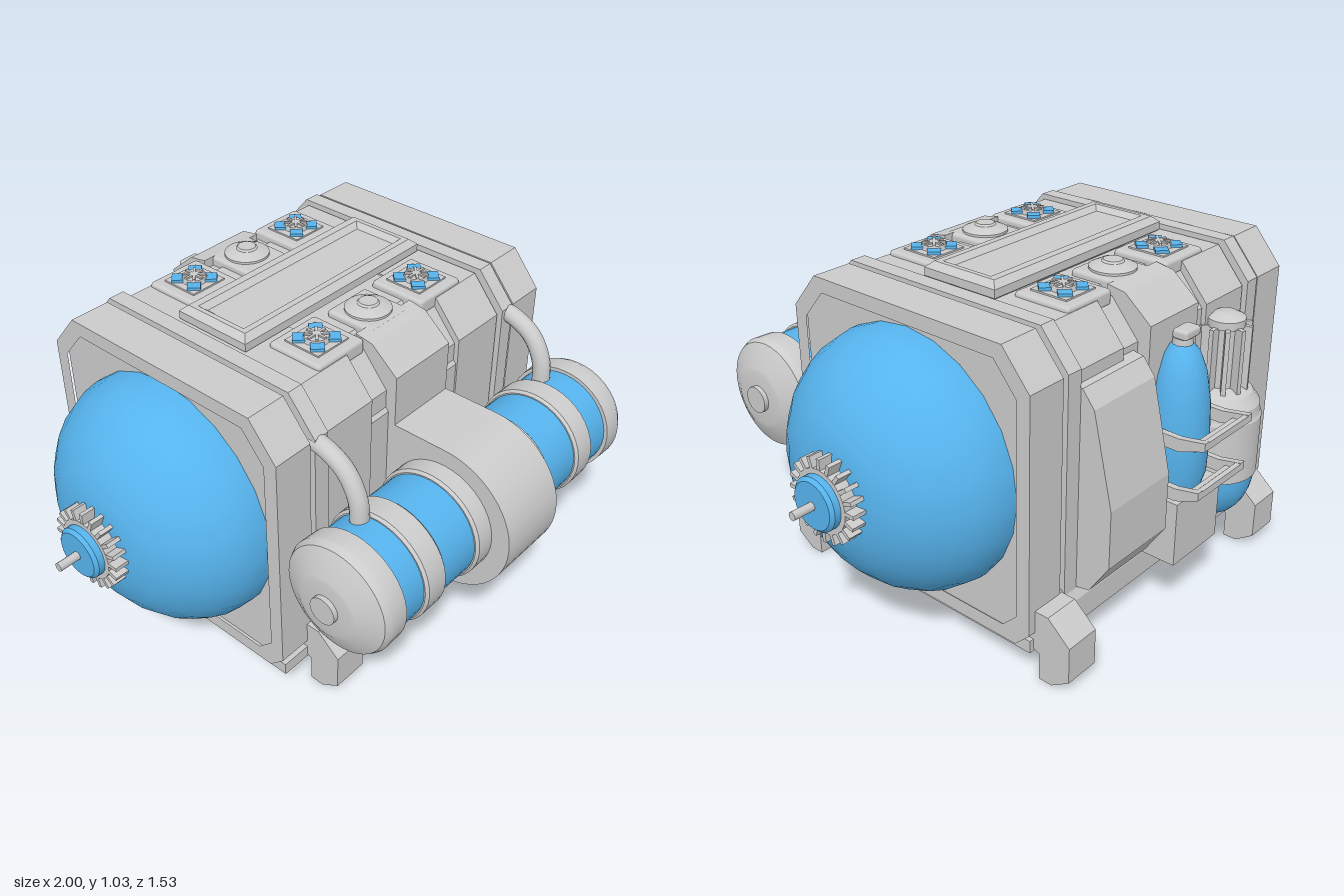
import * as THREE from 'three';
import { RoundedBoxGeometry } from 'three/addons/geometries/RoundedBoxGeometry.js';
import { toCreasedNormals } from 'three/addons/utils/BufferGeometryUtils.js';

const grey = new THREE.MeshStandardMaterial({ color: 0xcccccc });
const blue = new THREE.MeshStandardMaterial({ color: 0x56b4ee });

export function createModel() {
  const model = new THREE.Group();

  const add = (name, geo, mat = grey, parent = model) => {
    const m = new THREE.Mesh(geo, mat);
    m.name = name;
    parent.add(m);
    return m;
  };
  const group = (name, x = 0, y = 0, z = 0) => {
    const g = new THREE.Group();
    g.name = name;
    g.position.set(x, y, z);
    model.add(g);
    return g;
  };
  // box from its min and max corners
  const box = (name, x0, x1, y0, y1, z0, z1, mat, parent) =>
    add(name, new THREE.BoxGeometry(x1 - x0, y1 - y0, z1 - z0)
      .translate((x0 + x1) / 2, (y0 + y1) / 2, (z0 + z1) / 2), mat, parent);
  // side outline of [z, y] points swept along x
  const toShape = (pts) => new THREE.Shape(pts.map(([z, y]) => new THREE.Vector2(-z, y)));
  const sweep = (pts, x0, x1, hole) => {
    const s = toShape(pts);
    if (hole) s.holes.push(toShape(hole));
    return new THREE.ExtrudeGeometry(s, { depth: x1 - x0, bevelEnabled: false })
      .rotateY(Math.PI / 2).translate(x0, 0, 0);
  };
  // turned part from [radius, height] points
  const lathe = (pts, seg = 32) => toCreasedNormals(
    new THREE.LatheGeometry(pts.map(([r, h]) => new THREE.Vector2(r, h)), seg), 0.5);
  // chamfered hull outline, inset by d, with top chamfer c
  const hull = (d, c = 0.11, y0 = 0.1) => [
    [0.34 - d, y0 + d + 0.05], [0.34 - d, 0.99 - d - c], [0.34 - d - c * 0.85, 0.99 - d],
    [-0.55 + d + c * 0.85, 0.99 - d], [-0.55 + d, 0.99 - d - c], [-0.55 + d, y0 + d + 0.05],
    [-0.5 + d, y0 + d], [0.29 - d, y0 + d]];

  // hull: waist between the side panels, panels, end frames
  add('hullWaist', sweep(hull(0.015, 0.19), -0.2, 0.2));
  add('hullCore', sweep(hull(0.025), -0.575, 0.575));
  for (const s of [-1, 1]) {
    const span = (a, b) => (s > 0 ? [a, b] : [-b, -a]);
    add('sidePanel', sweep(hull(0.01), ...span(0.2, 0.395)));
    add('hullBand', sweep(hull(-0.005), ...span(0.4, 0.452)));
    add('endFrame', sweep(hull(0), ...span(0.465, 0.595), hull(0.045, 0.09)));
  }

  // base frame with an open recess underneath
  const rect = (C, x, z0, z1) => new C([[-x, z0], [x, z0], [x, z1], [-x, z1]]
    .map(([a, b]) => new THREE.Vector2(a, b)));
  const base = rect(THREE.Shape, 0.585, -0.34, 0.545);
  base.holes.push(rect(THREE.Path, 0.47, -0.25, 0.45));
  add('baseFrame', new THREE.ExtrudeGeometry(base, { depth: 0.04, bevelEnabled: false })
    .rotateX(-Math.PI / 2).translate(0, 0.085, 0));
  const skirt = [[0.3, 0.1], [0.36, 0.1], [0.36, 0.18], [0.335, 0.225], [0.3, 0.225]];
  add('frontSkirt', sweep(skirt, -0.43, 0.5));
  add('backSkirt', sweep(skirt.map(([z, y]) => [-0.21 - z, y]).reverse(), -0.43, 0.5));

  // feet
  const foot = [[0.355, 0], [0.4, 0], [0.46, 0.04], [0.46, 0.155], [0.385, 0.22], [0.32, 0.22], [0.32, 0.1], [0.355, 0.085]];
  for (const x of [-0.432, 0.513]) {
    add('frontFoot', sweep(foot, x - 0.057, x + 0.057));
    add('backFoot', sweep(foot.map(([z, y]) => [-0.21 - z, y]).reverse(), x - 0.057, x + 0.057));
  }

  // end domes with toothed hubs
  for (const s of [-1, 1]) {
    const end = group(s > 0 ? 'leftDome' : 'rightDome', 0, 0.54, -0.1);
    end.rotation.z = -s * Math.PI / 2;
    const dome = [[0.39, 0.56], [0.39, 0.6], [0.381, 0.65], [0.36, 0.7], [0.325, 0.75], [0.275, 0.797],
      [0.215, 0.835], [0.15, 0.857], [0.1, 0.865], [0, 0.865]];
    add('dome', new THREE.LatheGeometry(dome.map((p) => new THREE.Vector2(...p)), 24), blue, end);
    add('hubRing', lathe([[0.095, 0.86], [0.095, 0.905], [0.08, 0.905], [0.08, 0.86]]), grey, end);
    add('hub', lathe([[0.08, 0.86], [0.08, 0.925], [0.07, 0.935], [0, 0.935]]), blue, end);
    add('hubPin', new THREE.CylinderGeometry(0.013, 0.013, 0.1, 10).translate(0, 0.95, 0), grey, end);
    for (let i = 0; i < 20; i++) {
      add('hubTooth', new THREE.BoxGeometry(0.04, 0.045, 0.012).translate(0.106, 0.882, 0)
        .rotateY(i * Math.PI / 10), grey, end);
    }
  }

  // front tank lying along x, held by a wide clamp
  const tank = group('frontTank', 0, 0.52, 0.53);
  tank.rotation.z = -Math.PI / 2;
  add('tankBody', new THREE.CylinderGeometry(0.166, 0.166, 1.04, 40), blue, tank);
  const ring = (a, b, r) => lathe([[0.15, a], [r - 0.008, a], [r, a + 0.008], [r, b - 0.008], [r - 0.008, b], [0.15, b]], 40);
  for (const s of [-1, 1]) {
    const half = new THREE.Group();
    half.name = 'tankEnd';
    if (s < 0) half.rotation.z = Math.PI;
    tank.add(half);
    add('innerRing', ring(0.1, 0.185, 0.178), grey, half);
    add('outerRing', ring(0.325, 0.412, 0.178), grey, half);
    add('endCap', lathe([[0.15, 0.5], [0.178, 0.5], [0.18, 0.56], [0.17, 0.58], [0.1, 0.617], [0.085, 0.62], [0, 0.62]], 40), grey, half);
    add('endBolt', new THREE.CylinderGeometry(0.043, 0.043, 0.03, 20).translate(0, 0.62, 0), grey, half);
  }
  const clamp = [[0.3, 0.28], [0.53, 0.28]];
  for (let i = 1; i < 28; i++) {
    const a = -Math.PI / 2 + i * Math.PI / 28;
    clamp.push([0.53 + 0.237 * Math.cos(a), 0.515 + 0.235 * Math.sin(a)]);
  }
  clamp.push([0.53, 0.75], [0.3, 0.75]);
  add('tankClamp', toCreasedNormals(sweep(clamp, -0.12, 0.12), 0.5));

  // brackets folded over the top edges
  const bracket = [[0.3, 0.7], [0.35, 0.7], [0.35, 0.91], [0.26, 0.985], [0.2, 0.995], [0.2, 0.8]];
  add('frontBracket', sweep(bracket, -0.12, 0.12));
  add('backBracket', sweep(bracket.map(([z, y]) => [-0.215 - z, y]).reverse(), -0.115, 0.115));

  // pipes from hull to tank
  for (const x of [-0.43, 0.44]) {
    for (const s of [-1, 1]) {
      const path = [[0.27, 0.335], [0.35, 0.335], [0.43, 0.295], [0.475, 0.22], [0.485, 0.12]]
        .map(([z, y], i) => new THREE.Vector3(x + (s < 0 ? 0.015 : 0), 0.525 + s * y, z));
      add('pipe', new THREE.TubeGeometry(new THREE.CatmullRomCurve3(path), 24, 0.028, 14));
    }
  }

  // roof hatch: tapered rim around a slightly sunk panel
  const hatch = rect(THREE.Shape, 0.36, -0.005, 0.22);
  hatch.holes.push(rect(THREE.Path, 0.345, 0.015, 0.195));
  add('hatchRim', new THREE.ExtrudeGeometry(hatch, { depth: 0.025, bevelSize: 0.02, bevelThickness: 0.018, bevelSegments: 1 })
    .rotateX(-Math.PI / 2).translate(0, 0.985, 0));
  box('hatchPanel', -0.34, 0.34, 0.97, 1.012, -0.19, -0.015);

  // roof plates with cross knobs and domed caps
  for (const z of [-0.35, 0.14]) {
    for (const x of [-0.217, 0.005, 0.227]) {
      const plate = group('roofPlate', x, 0.98, z);
      const mid = x === 0.005;
      const w = mid ? 0.17 : 0.19;
      add('plate', new RoundedBoxGeometry(w, 0.05, w, 2, 0.012), grey, plate).position.y = -0.01;
      if (mid) {
        add('cap', lathe([[0.07, 0], [0.07, 0.022], [0.04, 0.036], [0.033, 0.036], [0.028, 0.042], [0, 0.042]], 24), grey, plate);
        continue;
      }
      add('socket', new THREE.BoxGeometry(0.125, 0.012, 0.125).translate(0, 0.014, 0), grey, plate);
      for (let i = 0; i < 4; i++) {
        add('crossArm', new THREE.BoxGeometry(0.035, 0.014, 0.04).translate(0.05, 0.022, 0)
          .rotateY(Math.PI / 4 + i * Math.PI / 2), blue, plate);
        add('knobRib', new THREE.BoxGeometry(0.07, 0.01, 0.008).translate(0, 0.034, 0)
          .rotateY(i * Math.PI / 4), grey, plate);
      }
      add('knob', new THREE.CylinderGeometry(0.036, 0.042, 0.02, 20).translate(0, 0.024, 0), grey, plate);
    }
  }

  // back: faceted locker and lower box
  add('backLocker', sweep([[-0.5, 0.84], [-0.56, 0.83], [-0.6, 0.78], [-0.665, 0.5], [-0.665, 0.32], [-0.6, 0.22], [-0.5, 0.2]].reverse(), 0.135, 0.4));
  box('lowerBox', -0.1, 0.12, 0.195, 0.4, -0.69, -0.5);

  // back: bottle in a rail cradle
  const bottle = group('bottle', 0, 0, -0.595);
  add('bottleBody', lathe([[0, 0.37], [0.075, 0.38], [0.092, 0.44], [0.095, 0.55], [0.09, 0.66], [0.075, 0.75],
    [0.052, 0.81], [0.03, 0.835], [0, 0.835]]), blue, bottle);
  add('bottleNeck', new THREE.CylinderGeometry(0.028, 0.032, 0.04, 16).translate(0, 0.84, 0), grey, bottle);
  add('bottleValve', new RoundedBoxGeometry(0.075, 0.03, 0.05, 2, 0.01).translate(0, 0.87, -0.01), grey, bottle);
  for (const [y, z] of [[0.6, -0.765], [0.44, -0.755]]) {
    for (const x of [-0.11, 0.11]) {
      add('cradleArm', sweep([[-0.52, y - 0.03], [-0.52, y + 0.01], [-0.68, y + 0.01], [z, y + 0.025], [z, y], [-0.68, y - 0.03]].reverse(), x - 0.01, x + 0.01));
    }
    box('cradleBar', -0.12, 0.12, y, y + 0.022, z, z + 0.016);
    box('cradleInnerBar', -0.11, 0.11, y - 0.02, y, z + 0.035, z + 0.05);
  }

  // back: upright tank with finned top
  const upright = group('uprightTank', -0.26, 0, -0.575);
  const bowl = [];
  for (let i = 0; i <= 8; i++) {
    const a = i * Math.PI / 16;
    bowl.push([0.122 * Math.sin(a), 0.33 - 0.17 * Math.cos(a)]);
  }
  add('tankBowl', lathe(bowl), blue, upright);
  add('tankShell', lathe([[0.115, 0.325], [0.128, 0.325], [0.128, 0.52], [0.122, 0.53], [0.12, 0.56], [0.095, 0.595], [0.06, 0.61], [0, 0.61]]), grey, upright);
  add('tankCore', new THREE.CylinderGeometry(0.05, 0.05, 0.23, 20).translate(0, 0.71, 0), grey, upright);
  add('tankTop', lathe([[0, 0.8], [0.058, 0.8], [0.058, 0.825], [0.03, 0.84], [0, 0.84]], 20), grey, upright);
  for (let i = 0; i < 10; i++) {
    add('tankFin', new THREE.BoxGeometry(0.04, 0.21, 0.014).translate(0.06, 0.7, 0)
      .rotateY(i * Math.PI / 5), grey, upright);
  }
  return model;
}
